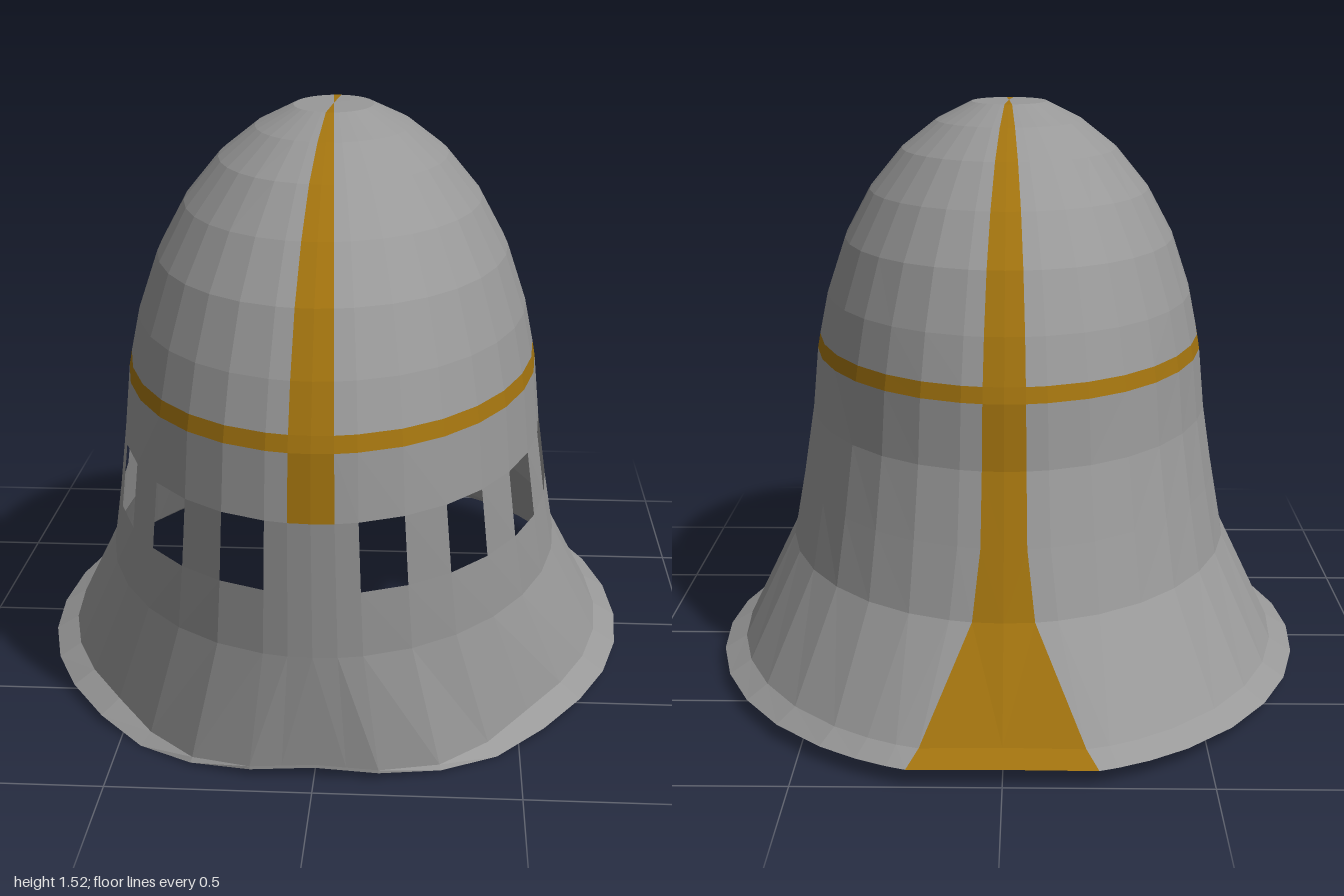
import * as THREE from 'three';

const DEG = Math.PI / 180;

// Cross-sections from crown to skirt: [y, x radius, front z, back z]
const RINGS = [
  [1.525, 0.105, 0.31, -0.02],
  [1.475, 0.205, 0.47, -0.18],
  [1.40, 0.30, 0.62, -0.33],
  [1.29, 0.39, 0.75, -0.46],
  [1.16, 0.46, 0.86, -0.57],
  [1.01, 0.51, 0.935, -0.645],
  [0.895, 0.533, 0.975, -0.685],
  [0.855, 0.54, 0.985, -0.695],
  [0.69, 0.555, 0.995, -0.705],
  [0.51, 0.58, 0.977, -0.755],
  [0.34, 0.608, 0.96, -0.805],
];
const BAND_ROW = 6, SLOT_ROW = 8, NECK = 10, LIP = 11, RIM = 12;

// Half-side column angles, measured from the front; extra ones edge the strips
const HALF = [0, 5.6];
for (let i = 1; i < 16; i++) HALF.push(i * 11.25);
HALF.push(174.4, 180);
const N = HALF.length - 1;
const SLOTS = [2, 4, 6, 8]; // columns left open as sight holes

// Height of the skirt's wavy lower edge by angle
const EDGE = [[0, 0.035], [20, 0.018], [30, 0.003], [38, 0.012], [50, 0.034], [90, 0.036], [180, 0.05]];
function edgeY(t) {
  const i = Math.max(1, EDGE.findIndex((e) => t <= e[0]));
  const [a, ya] = EDGE[i - 1], [b, yb] = EDGE[i];
  return ya + (yb - ya) * (t - a) / (b - a);
}

// The two columns beside the rear centre fan out towards the hem
function fanned(col, row) {
  if (col === N - 1) return row === RIM ? 163.5 : row === LIP ? 164.5 : row === NECK ? 172.8 : 174.4;
  if (col === N - 2) return row >= LIP ? 160 : row === NECK ? 167.5 : 168.75;
  if (col === N - 3 && row >= LIP) return 154;
  return HALF[col];
}

function point(row, col, side) {
  const t = fanned(col, row), s = Math.sin(t * DEG), c = Math.cos(t * DEG);
  if (row < LIP) {
    const [y, rx, front, back] = RINGS[row];
    return new THREE.Vector3(side * rx * s, y, (front + back) / 2 + c * (front - back) / 2);
  }
  // Flared hem, flattened at front and back
  let x = 0.8 * s, y = edgeY(t);
  let z = c > 0 ? Math.min(0.93, 0.96 * c) : Math.max(-0.995, 1.035 * c);
  if (row === LIP) {
    const f = THREE.MathUtils.smoothstep(t, 15, 45);
    x *= 1 - 0.075 * f;
    z *= 1 - 0.045 * f;
    y += 0.008 + 0.027 * f;
  }
  return new THREE.Vector3(side * x, y, z);
}

export function createModel() {
  const group = new THREE.Group();
  const steel = new THREE.MeshStandardMaterial({ color: 0x999999, side: THREE.DoubleSide, flatShading: true });
  steel.name = 'steel';
  const gold = new THREE.MeshStandardMaterial({ color: 0xa3740f, side: THREE.DoubleSide, flatShading: true });
  gold.name = 'gold';

  // Triangles gathered per named part
  const parts = {};
  const add = (name, ...pts) => {
    const list = (parts[name] ??= []);
    for (const p of pts) list.push(p.x, p.y, p.z);
  };

  const partName = (row, col) => {
    if (row === BAND_ROW) return 'browBand';
    if (col === 0 && row < SLOT_ROW) return 'frontStrip';
    if (col === N - 1) return 'rearStrip';
    if (row < BAND_ROW) return 'dome';
    if (row < NECK) return 'faceWall';
    return row < LIP ? 'flaredSkirt' : 'hemLip';
  };

  for (const side of [1, -1]) {
    const apex = new THREE.Vector3(0, 1.527, 0.145);
    for (let col = 0; col < N; col++) {
      // Crown fan
      const p = point(0, col, side), q = point(0, col + 1, side);
      add(partName(0, col), apex, ...(side > 0 ? [p, q] : [q, p]));
      // Wall panels
      for (let row = 0; row < RIM; row++) {
        if (row === SLOT_ROW && SLOTS.includes(col)) continue;
        const a = point(row, col, side), b = point(row + 1, col, side);
        const c = point(row + 1, col + 1, side), d = point(row, col + 1, side);
        const name = partName(row, col);
        if (side > 0) add(name, a, b, c, a, c, d);
        else add(name, a, c, b, a, d, c);
      }
    }
  }

  const goldParts = ['browBand', 'frontStrip', 'rearStrip'];
  for (const [name, coords] of Object.entries(parts)) {
    const geometry = new THREE.BufferGeometry();
    geometry.setAttribute('position', new THREE.Float32BufferAttribute(coords, 3));
    geometry.computeVertexNormals();
    const mesh = new THREE.Mesh(geometry, goldParts.includes(name) ? gold : steel);
    mesh.name = name;
    group.add(mesh);
  }
  group.name = 'helmet';
  return group;
}
